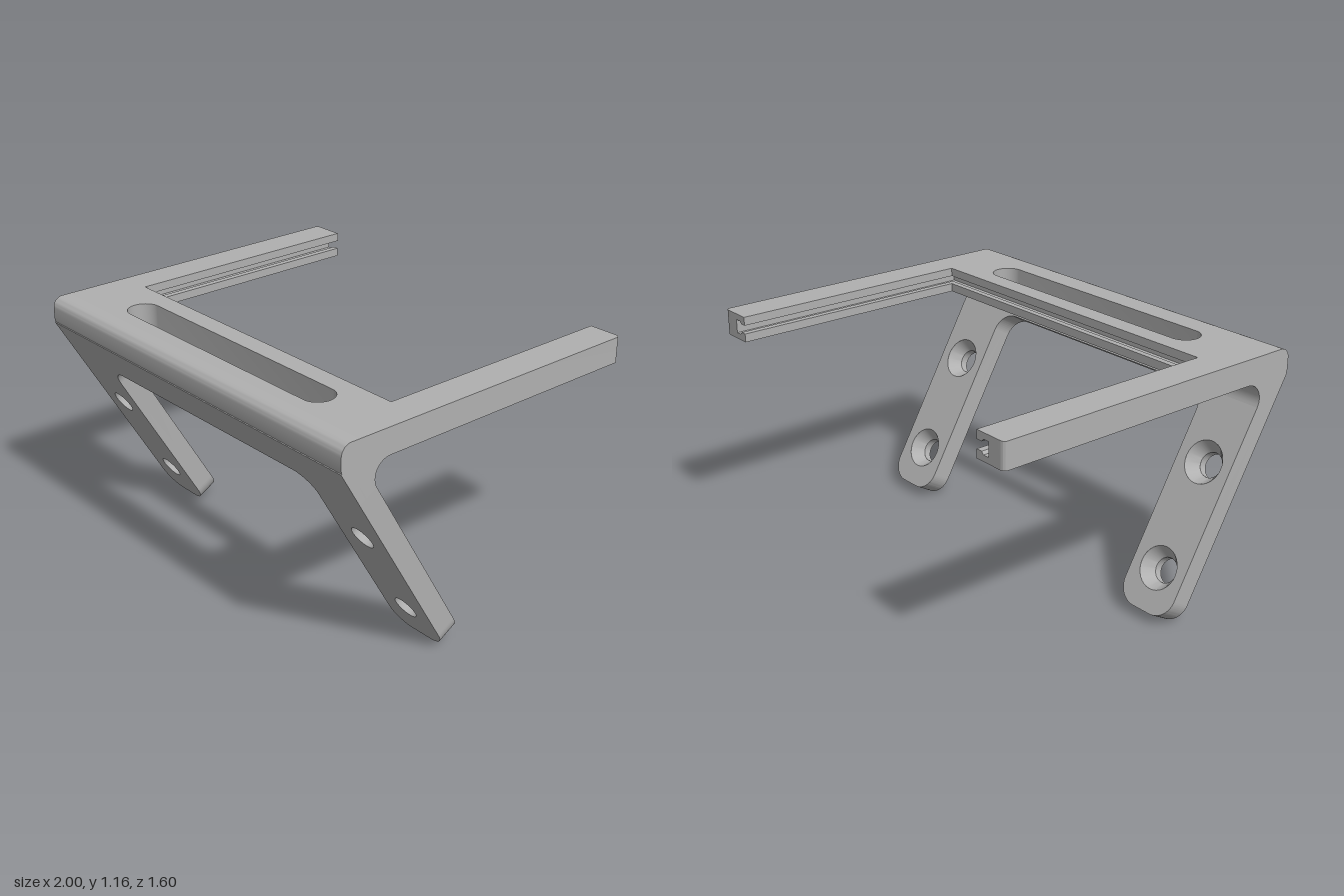
import * as THREE from 'three';
import { toCreasedNormals } from 'three/addons/utils/BufferGeometryUtils.js';

const metal = new THREE.MeshStandardMaterial({ color: 0xb0b0b0 });
metal.name = 'plain grey';

function add(parent, name, geometry, crease = 0.4) {
  const mesh = new THREE.Mesh(toCreasedNormals(geometry, crease), metal);
  mesh.name = name;
  parent.add(mesh);
  return mesh;
}

const extrude = (shape, depth, steps = 1) =>
  new THREE.ExtrudeGeometry(shape, { depth, steps, bevelEnabled: false, curveSegments: 16 });

// Side profile in (z, y), run along x from x0 to x1
function alongX(points, x0, x1) {
  const shape = new THREE.Shape(points.map(([z, y]) => new THREE.Vector2(-z, y)));
  return extrude(shape, x1 - x0).rotateY(Math.PI / 2).translate(x0, 0, 0);
}

// Points of an arc in (z, y), angles in degrees
function arc(cz, cy, r, from, to, n = 12) {
  return Array.from({ length: n + 1 }, (_, i) => {
    const a = THREE.MathUtils.degToRad(from + (to - from) * i / n);
    return [cz + r * Math.cos(a), cy + r * Math.sin(a)];
  });
}

// Leg frame outline: two legs with rounded feet under a cross beam
function legShape(holeRadius) {
  const s = new THREE.Shape();
  s.moveTo(-1, 1.2);
  s.lineTo(-1, 0.1);
  s.absarc(-0.9, 0.1, 0.1, Math.PI, Math.PI * 1.5, false);
  s.absarc(-0.8, 0.1, 0.1, Math.PI * 1.5, Math.PI * 2, false);
  s.absarc(-0.6, 0.905, 0.1, Math.PI, Math.PI / 2, true);
  s.absarc(0.6, 0.905, 0.1, Math.PI / 2, 0, true);
  s.absarc(0.8, 0.1, 0.1, Math.PI, Math.PI * 1.5, false);
  s.absarc(0.9, 0.1, 0.1, Math.PI * 1.5, Math.PI * 2, false);
  s.lineTo(1, 1.2);
  for (const [x, y] of HOLES) {
    s.holes.push(new THREE.Path().absarc(x, y, holeRadius, 0, Math.PI * 2, true));
  }
  return s;
}
const HOLES = [[-0.85, 0.2], [-0.85, 0.705], [0.85, 0.2], [0.85, 0.705]];

export function createModel() {
  const model = new THREE.Group();
  model.name = 'mountingBracket';

  // Top plate: outer U with a long rounded slot
  const u = new THREE.Shape();
  u.moveTo(-1, -0.7);
  u.lineTo(1, -0.7);
  u.lineTo(1, 0.78);
  u.absarc(0.98, 0.78, 0.02, 0, Math.PI / 2, false);
  u.lineTo(0.925, 0.8);
  u.lineTo(0.925, -0.485);
  u.lineTo(-0.925, -0.485);
  u.lineTo(-0.925, 0.8);
  u.lineTo(-0.98, 0.8);
  u.absarc(-0.98, 0.78, 0.02, Math.PI / 2, Math.PI, false);
  const slot = new THREE.Path();
  slot.absarc(0.6, -0.57, 0.075, -Math.PI / 2, Math.PI / 2, false);
  slot.absarc(-0.6, -0.57, 0.075, Math.PI / 2, Math.PI * 1.5, false);
  u.holes.push(slot);
  add(model, 'topPlate', extrude(u, 0.12).rotateX(-Math.PI / 2).translate(0, 1.04, 0));

  // Grooved inner rail: one profile carried round the U with mitred corners
  const rail = new THREE.Shape([
    [0, 1.04], [0.085, 1.04], [0.085, 1.16], [0, 1.16], [0, 1.12],
    [0.03, 1.12], [0.04, 1.132], [0.07, 1.132], [0.07, 1.068], [0.04, 1.068],
    [0.03, 1.08], [0, 1.08],
  ].map(([o, y]) => new THREE.Vector2(o, y)));
  const railGeometry = extrude(rail, 3, 3);
  const stations = [[0.84, -0.8, 1, 0], [0.84, 0.4, 1, 1], [-0.84, 0.4, -1, 1], [-0.84, -0.8, -1, 0]];
  const p = railGeometry.attributes.position;
  for (let i = 0; i < p.count; i++) {
    const [x, z, dx, dz] = stations[Math.round(p.getZ(i))];
    const offset = p.getX(i);
    p.setXYZ(i, x + offset * dx, p.getY(i), z + offset * dz);
  }
  add(model, 'groovedRail', railGeometry, 0.1);

  // Rounded front bend
  add(model, 'frontBend', alongX([
    [0.7, 1.16], ...arc(0.75, 1.11, 0.05, 90, 0),
    [0.8, 1.055], [0.797, 1.043], [0.79, 1.023],
    [0.645, 0.972], [0.645, 1.04], [0.7, 1.04],
  ], -1, 1));

  // Inside fillets on both sides of the slot
  const fillet = [...arc(0.55, 0.962, 0.078, 90, -30), [0.7, 1.04]];
  add(model, 'leftFillet', alongX(fillet, 0.655, 1));
  add(model, 'rightFillet', alongX(fillet, -1, -0.655));

  // Sloping leg frame with countersunk screw holes
  const legs = new THREE.Group();
  legs.name = 'legFrame';
  legs.rotation.x = Math.PI / 6;
  legs.position.z = 0.2;
  model.add(legs);
  add(legs, 'legFront', extrude(legShape(0.058), 0.04).translate(0, 0, -0.04));
  add(legs, 'legBack', extrude(legShape(0.1), 0.06).translate(0, 0, -0.1));
  const cone = new THREE.LatheGeometry(
    [new THREE.Vector2(0.058, -0.04), new THREE.Vector2(0.1, -0.1)], 40).rotateX(Math.PI / 2);
  for (const [x, y] of HOLES) add(legs, 'countersink', cone).position.set(x, y, 0);

  return model;
}
